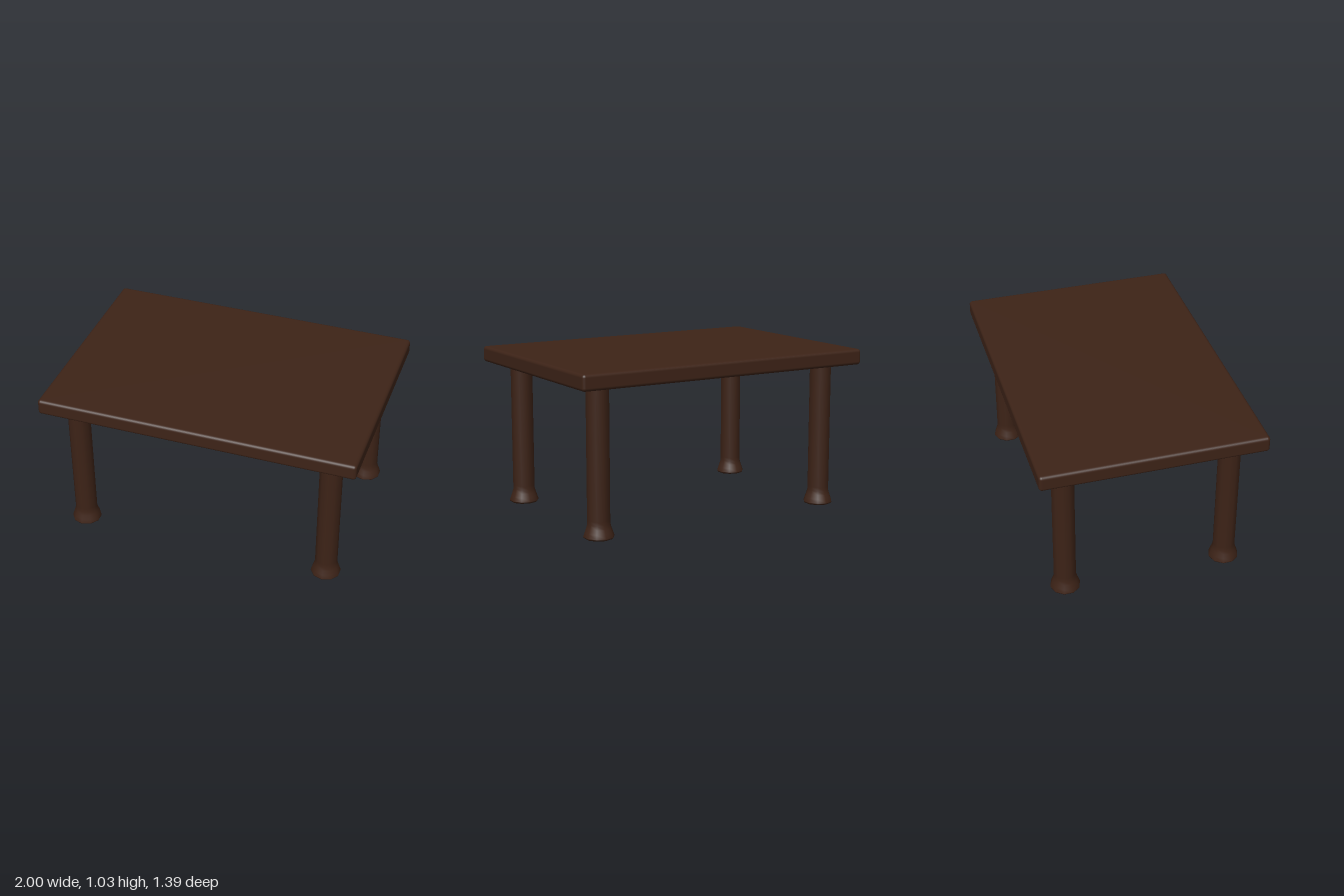
import * as THREE from 'three';
import { RoundedBoxGeometry } from 'three/addons/geometries/RoundedBoxGeometry.js';

export function createModel() {
  const table = new THREE.Group();
  table.name = 'table';
  const wood = new THREE.MeshStandardMaterial({ color: 0x3d2317 });

  // Slab with softened edges
  const top = new THREE.Mesh(new RoundedBoxGeometry(2, 0.1, 1.39, 3, 0.02), wood);
  top.name = 'tableTop';
  top.position.y = 0.976;
  table.add(top);

  // Ten-sided leg with a flared foot and slightly domed underside
  const profile = [
    [0, 0], [0.084, 0.007], [0.084, 0.007], [0.093, 0.014], [0.094, 0.02],
    [0.086, 0.045], [0.077, 0.07], [0.07, 0.095], [0.07, 0.12], [0.07, 0.93],
  ].map(([r, y]) => new THREE.Vector2(r, y));
  const legGeometry = new THREE.LatheGeometry(profile, 10);

  for (const x of [-1, 1]) {
    for (const z of [-1, 1]) {
      const leg = new THREE.Mesh(legGeometry, wood);
      leg.name = (z > 0 ? 'front' : 'back') + (x > 0 ? 'Left' : 'Right') + 'Leg';
      leg.position.set(x * 0.813, 0, z * 0.515);
      table.add(leg);
    }
  }
  return table;
}
